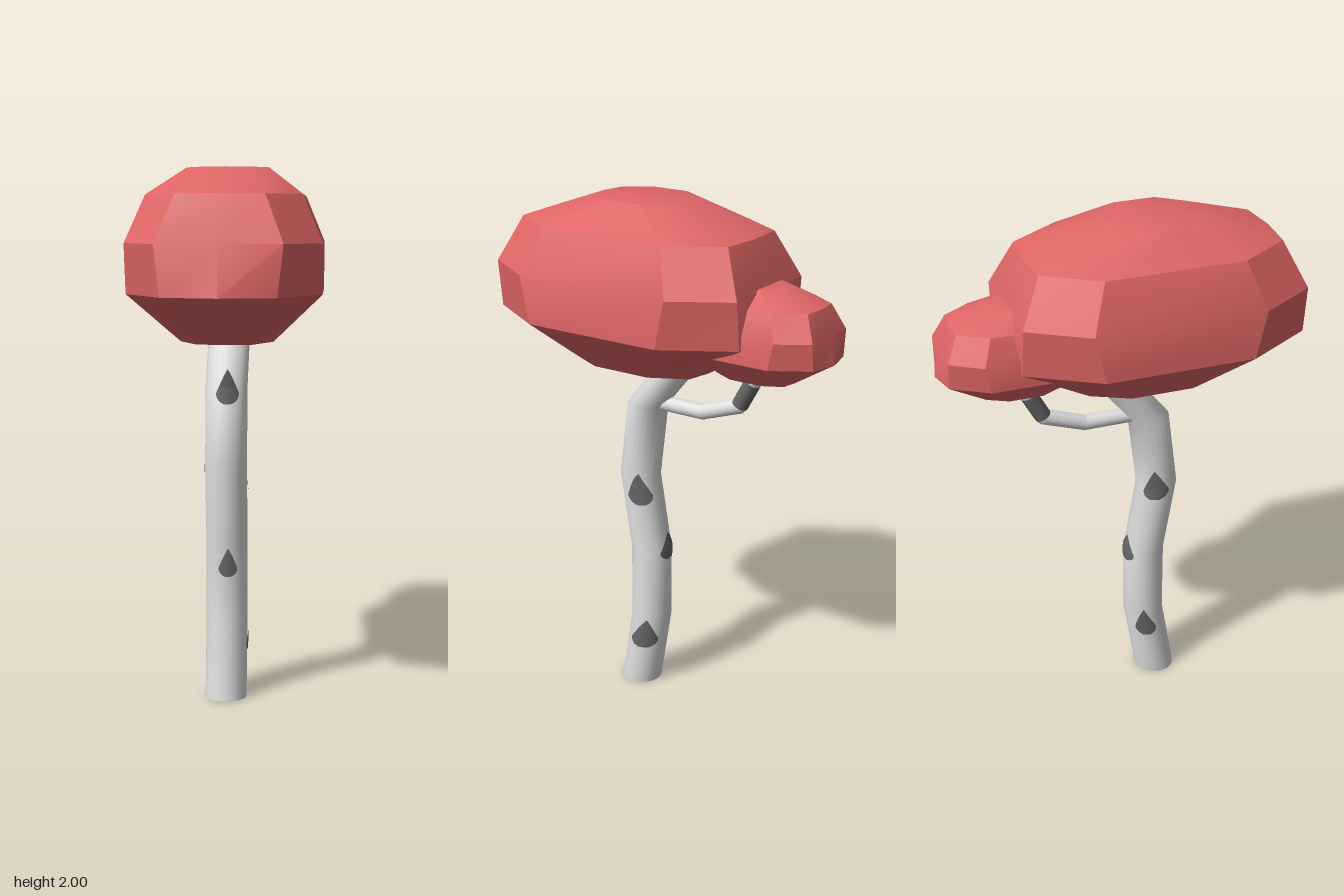
import * as THREE from 'three';
import { toCreasedNormals } from 'three/addons/utils/BufferGeometryUtils.js';

const leafRed = new THREE.MeshStandardMaterial({ color: 0xe06666 });
leafRed.name = 'leafRed';
const barkWhite = new THREE.MeshStandardMaterial({ color: 0xdedede });
barkWhite.name = 'barkWhite';
const barkGrey = new THREE.MeshStandardMaterial({ color: 0x666666 });
barkGrey.name = 'barkGrey';

// Closed solid from horizontal rings of points, listed bottom to top
function loft(rings, crease) {
  const n = rings[0].length;
  const pos = [];
  const tri = (...pts) => pts.forEach((p) => pos.push(p.x, p.y, p.z));
  const middle = (ring) => ring.reduce((s, p) => s.add(p), new THREE.Vector3()).divideScalar(n);
  const top = rings[rings.length - 1];
  const low = middle(rings[0]), high = middle(top);
  for (let j = 0; j < n; j++) {
    const k = (j + 1) % n;
    for (let i = 0; i < rings.length - 1; i++) {
      const a = rings[i], b = rings[i + 1];
      tri(a[j], a[k], b[k]);
      tri(a[j], b[k], b[j]);
    }
    tri(low, rings[0][k], rings[0][j]);
    tri(high, top[j], top[k]);
  }
  const g = new THREE.BufferGeometry();
  g.setAttribute('position', new THREE.Float32BufferAttribute(pos, 3));
  return toCreasedNormals(g, crease);
}

// Crown levels: height, then side corner, diagonal corner and end tip (half sizes)
const LEVELS = [
  [0, 0.17, 0.12, 0.1, 0.26, 0.28],
  [0.18, 0.35, 0.28, 0.2, 0.535, 0.585],
  [0.36, 0.35, 0.32, 0.22, 0.535, 0.54],
  [0.53, 0.28, 0.26, 0.155, 0.455, 0.468],
  [0.63, 0.15, 0.08, 0.08, 0.17, 0.187],
];
function crownGeometry() {
  const rings = LEVELS.map(([y, sx, sz, dx, dz, tip]) =>
    [[0, tip], [dx, dz], [sx, sz], [sx, -sz], [dx, -dz],
      [0, -tip], [-dx, -dz], [-sx, -sz], [-sx, sz], [-dx, dz]]
      .map(([x, z]) => new THREE.Vector3(x, y, z)));
  return loft(rings, 0.5);
}

// Trunk centre line: height and z
const TRUNK = [[0, 0.15], [0.3, 0.1], [0.6, 0.1], [0.9, 0.15], [1.2, 0.113], [1.45, 0.125]];
const TRUNK_X = -0.01, TRUNK_R = 0.079;
function trunkZ(y) {
  const i = Math.min(TRUNK.length - 2, Math.max(0, TRUNK.findIndex((p) => p[0] > y) - 1));
  const [y0, z0] = TRUNK[i], [y1, z1] = TRUNK[i + 1];
  return z0 + (z1 - z0) * (y - y0) / (y1 - y0);
}
const onTrunk = (angle, y, r) => new THREE.Vector3(
  TRUNK_X + r * Math.sin(angle), y, trunkZ(y) + r * Math.cos(angle));

// Teardrop bark patch wrapped round the trunk
function barkSpot(angle, y, width, height) {
  const g = new THREE.PlaneGeometry(1, 1, 8, 16);
  const p = g.attributes.position;
  for (let i = 0; i < p.count; i++) {
    const v = p.getY(i) + 0.5;
    const w = v < 0.3 ? Math.sqrt(Math.max(0, 1 - ((0.3 - v) / 0.32) ** 2)) : Math.pow((1 - v) / 0.7, 0.9);
    const q = onTrunk(angle + p.getX(i) * w * width / TRUNK_R, y + p.getY(i) * height, TRUNK_R + 0.004);
    p.setXYZ(i, q.x, q.y, q.z);
  }
  g.computeVertexNormals();
  return g;
}

// Straight round rod between two points
function rod(a, b, r) {
  const d = new THREE.Vector3().subVectors(b, a);
  const g = new THREE.CylinderGeometry(r, r, d.length(), 16);
  g.applyQuaternion(new THREE.Quaternion().setFromUnitVectors(new THREE.Vector3(0, 1, 0), d.normalize()));
  const m = a.clone().add(b).multiplyScalar(0.5);
  return g.translate(m.x, m.y, m.z);
}

export function createModel() {
  const tree = new THREE.Group();
  tree.name = 'tree';
  const add = (name, geometry, material, parent = tree) => {
    const mesh = new THREE.Mesh(geometry, material);
    mesh.name = name;
    parent.add(mesh);
    return mesh;
  };

  // Trunk
  const rings = TRUNK.map(([y]) => Array.from({ length: 24 },
    (_, j) => onTrunk(j / 24 * Math.PI * 2, y, TRUNK_R)));
  add('trunk', loft(rings, 0.7), barkWhite);

  // Bark spots: angle from the front, height, width, length
  const spots = [
    [0.12, 1.2, 0.085, 0.13], [0.12, 0.53, 0.07, 0.11], [-1.88, 0.27, 0.085, 0.13],
    [2.03, 0.86, 0.1, 0.13], [1.93, 0.235, 0.115, 0.13], [2.6, 1.29, 0.09, 0.1],
    [3.25, 0.615, 0.1, 0.11], [-1.9, 0.92, 0.1, 0.13],
  ];
  spots.forEach((s) => add('barkSpot', barkSpot(...s), barkGrey));

  // Branch with rounded bends
  const branch = new THREE.Group();
  branch.name = 'branch';
  tree.add(branch);
  const path = [[1.21, 0.1], [1.21, -0.14], [1.265, -0.3], [1.43, -0.39]]
    .map(([y, z]) => new THREE.Vector3(TRUNK_X, y, z));
  for (let i = 0; i < path.length - 1; i++) {
    add('branchSegment', rod(path[i], path[i + 1], 0.029), barkWhite, branch);
    if (i) add('branchBend', new THREE.SphereGeometry(0.029, 16, 10), barkWhite, branch).position.copy(path[i]);
  }
  add('branchSpot', rod(path[2].clone().lerp(path[3], 0.03), path[2].clone().lerp(path[3], 0.62), 0.032),
    barkGrey, branch);

  // Crowns: the small one is a reduced copy on the branch
  const crown = crownGeometry();
  add('mainCrown', crown, leafRed).position.set(0, 1.37, 0.11);
  const small = add('smallCrown', crown, leafRed);
  small.position.set(0, 1.4, -0.385);
  small.scale.set(0.545, 0.547, 0.53);
  return tree;
}
